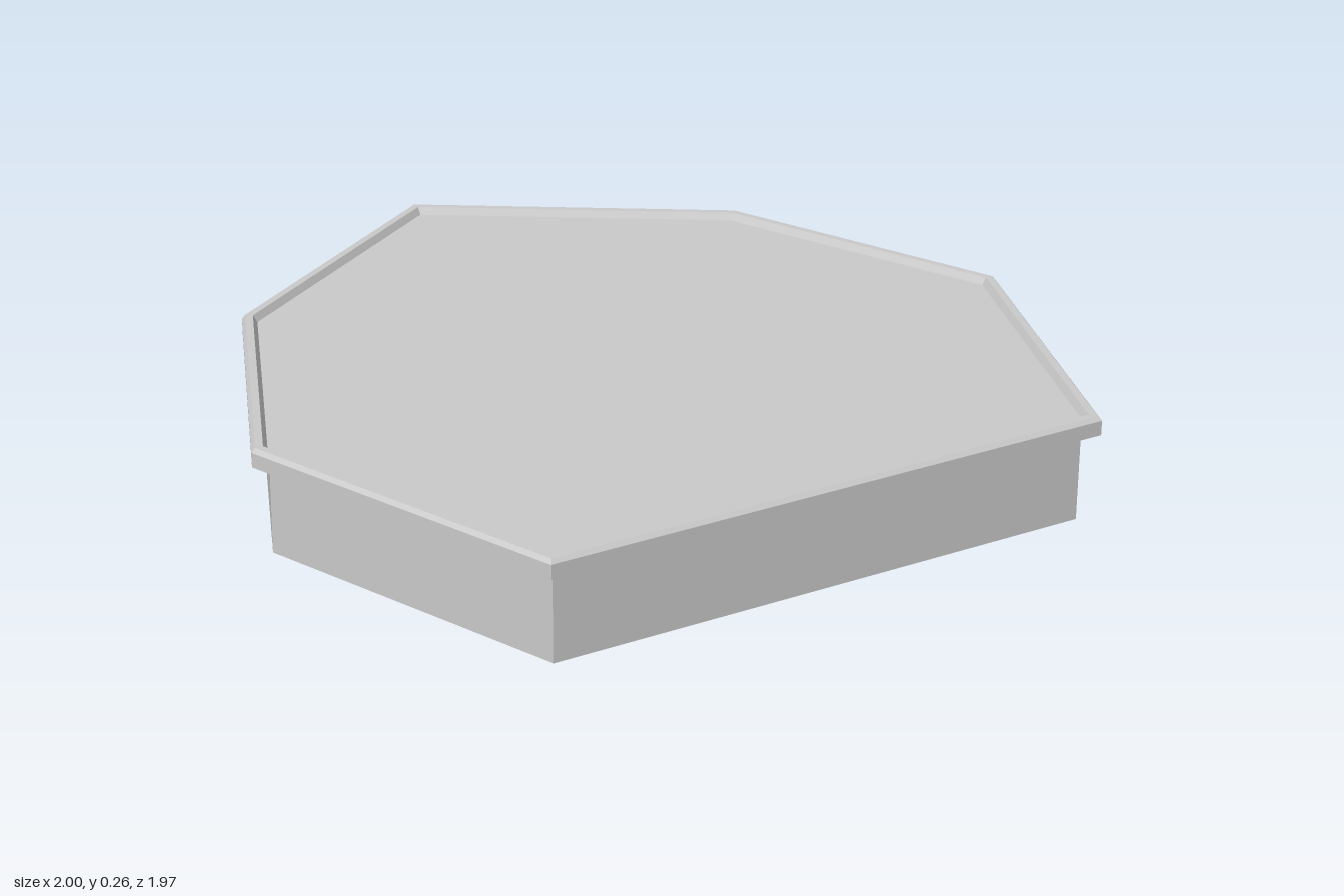
import * as THREE from 'three';

// Seven-sided outline: back apex first, then around by +x to the front and back by -x.
const half = [[0.695, -0.525], [1, 0.18], [0.705, 0.983]];
const outline = [[0, -0.983], ...half, ...half.map(([x, z]) => [-x, z]).reverse()]
  .map(([x, z]) => new THREE.Vector2(x, z));
const N = outline.length;

// Outline moved inward by distance d (mitred corners), at height y.
function ring(d, y) {
  return outline.map((p, i) => {
    const u = p.clone().sub(outline[(i + N - 1) % N]).normalize();
    const v = outline[(i + 1) % N].clone().sub(p).normalize();
    const n = new THREE.Vector2(-u.y - v.y, u.x + v.x).normalize();
    const k = d / (n.x * -u.y + n.y * u.x);
    return new THREE.Vector3(p.x + n.x * k, y, p.y + n.y * k);
  });
}

function makeMesh(name, points) {
  const geometry = new THREE.BufferGeometry().setFromPoints(points);
  geometry.computeVertexNormals();
  const mesh = new THREE.Mesh(geometry, new THREE.MeshStandardMaterial({
    color: 0xcccccc, flatShading: true, side: THREE.DoubleSide,
  }));
  mesh.name = name;
  return mesh;
}

// Band of flat faces following a profile of [inset, height] steps.
function band(name, profile) {
  const rings = profile.map(([d, y]) => ring(d, y));
  const points = [];
  for (let r = 0; r < rings.length - 1; r++) {
    for (let i = 0; i < N; i++) {
      const j = (i + 1) % N;
      const a = rings[r][i], b = rings[r][j], c = rings[r + 1][i], d = rings[r + 1][j];
      points.push(b, a, c, b, c, d);
    }
  }
  return makeMesh(name, points);
}

// Flat sheet filling the outline.
function sheet(name, d, y) {
  const p = ring(d, y);
  const points = [];
  for (let i = 1; i < N - 1; i++) points.push(p[0], p[i + 1], p[i]);
  return makeMesh(name, points);
}

export function createModel() {
  const model = new THREE.Group();
  model.name = 'heptagonalTray';
  // Thin skirt, open underneath
  model.add(band('skirt', [[0.038, 0], [0.038, 0.245]]));
  // Overhanging rim with bevelled top and a step down to the panel
  model.add(band('rim', [
    [0.038, 0.217], [0, 0.217], [0, 0.252], [0.008, 0.262],
    [0.026, 0.262], [0.036, 0.245],
  ]));
  // Recessed top panel
  model.add(sheet('topPanel', 0.036, 0.245));
  return model;
}
